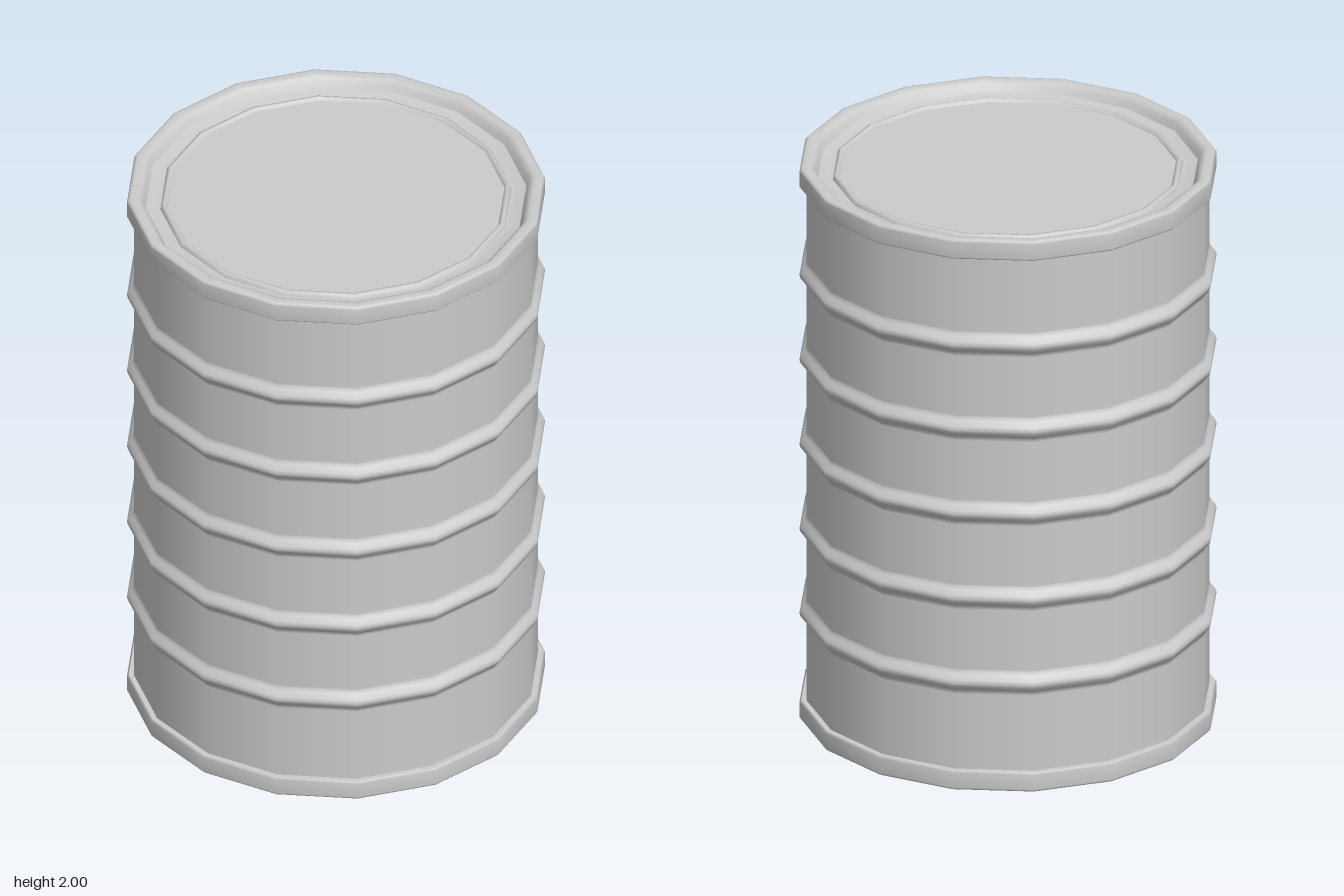
import * as THREE from 'three';

const SIDES = 16;
const WALL = 0.677;
const OUTER = 0.7;
const material = new THREE.MeshStandardMaterial({ color: 0xcccccc });

// Revolves a [radius, height] profile; smooth within one strip, creased between strips
function ring(name, profile) {
  const points = profile.map(([r, y]) => new THREE.Vector2(r, y));
  const mesh = new THREE.Mesh(new THREE.LatheGeometry(points, SIDES), material);
  mesh.name = name;
  return mesh;
}

// Lid end strips, listed from the wall over the rim to the centre
const endStrips = {
  RimLip: [[WALL, 1.93], [0.694, 1.93]],
  Rim: [[0.694, 1.93], [OUTER, 1.937], [OUTER, 1.99], [0.695, 1.998], [0.687, 2],
    [0.668, 2], [0.657, 1.996], [0.648, 1.985], [0.637, 1.965]],
  Gutter: [[0.637, 1.965], [0.605, 1.957], [0.588, 1.957]],
  LidBead: [[0.588, 1.957], [0.584, 1.969], [0.577, 1.972], [0.57, 1.972], [0.564, 1.962]],
  LidPanel: [[0.564, 1.962], [0, 1.962]],
};

export function createModel() {
  const drum = new THREE.Group();
  drum.name = 'drum';

  // Side wall with five rolled hoops
  const wall = [[WALL, 0.07]];
  for (let i = 0; i < 5; i++) {
    const y = 0.388 + i * 0.307;
    wall.push([WALL, y - 0.046], [WALL, y - 0.038], [0.684, y - 0.028], [0.697, y - 0.012],
      [OUTER, y], [0.697, y + 0.012], [0.684, y + 0.028], [WALL, y + 0.038], [WALL, y + 0.046]);
  }
  wall.push([WALL, 1.93]);
  drum.add(ring('sideWall', wall));

  // Matching top and bottom ends, the bottom one mirrored
  const top = new THREE.Group();
  const bottom = new THREE.Group();
  top.name = 'topEnd';
  bottom.name = 'bottomEnd';
  for (const [name, strip] of Object.entries(endStrips)) {
    top.add(ring('top' + name, strip));
    bottom.add(ring('bottom' + name, strip.map(([r, y]) => [r, 2 - y]).reverse()));
  }
  drum.add(top, bottom);
  return drum;
}
